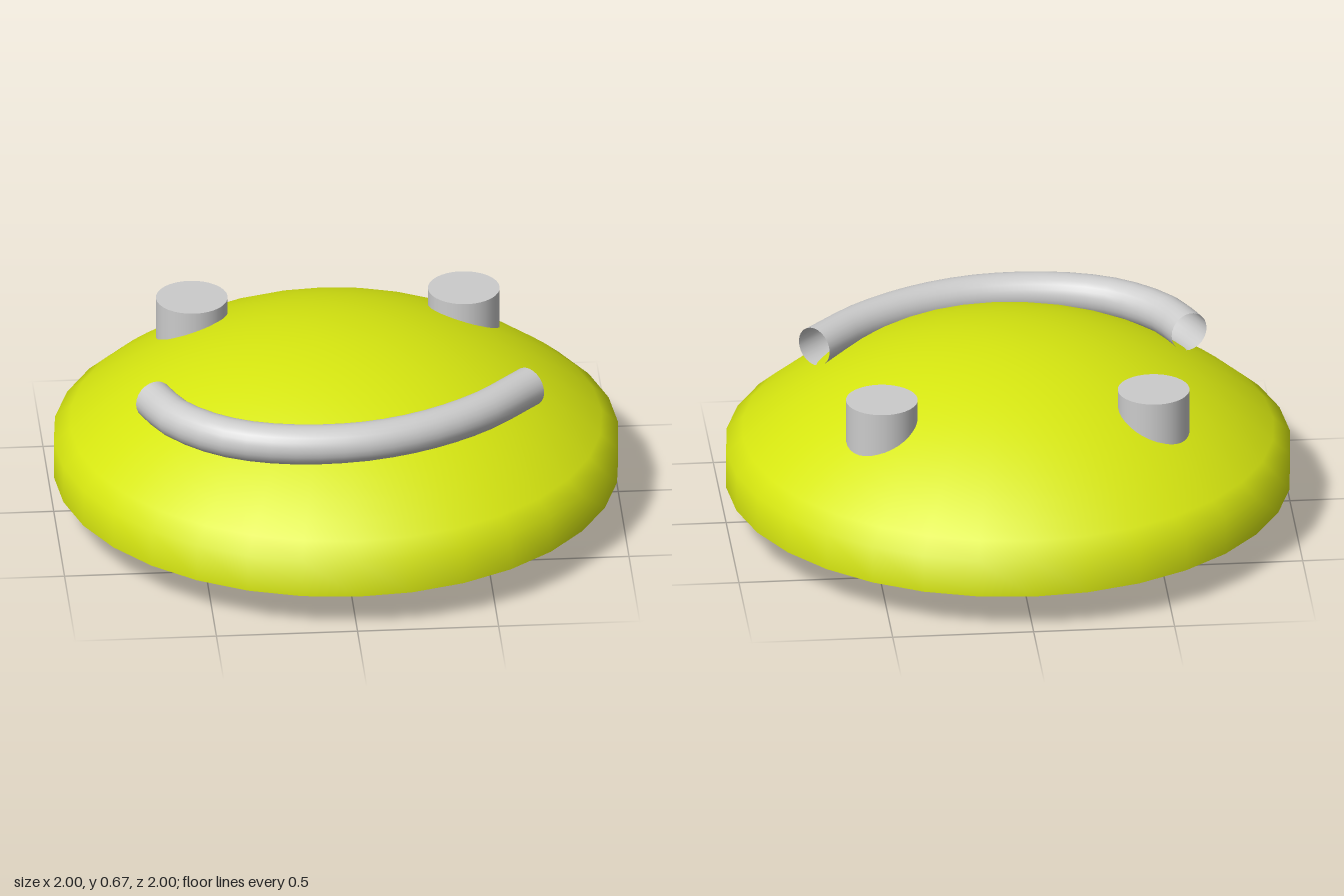
import * as THREE from 'three';
import { toCreasedNormals } from 'three/addons/utils/BufferGeometryUtils.js';

const SIDES = 32;
const yellow = new THREE.MeshStandardMaterial({ color: 0xd6e610 });
const grey = new THREE.MeshStandardMaterial({ color: 0xcccccc });
const greyOpen = new THREE.MeshStandardMaterial({ color: 0xcccccc, side: THREE.DoubleSide });

// Points of a spherical cap arc from the apex out to its edge
function capArc(edgeRadius, edgeY, apexY, steps = 14) {
  const rise = apexY - edgeY;
  const R = (edgeRadius ** 2 + rise ** 2) / (2 * rise);
  const end = Math.asin(edgeRadius / R);
  return Array.from({ length: steps + 1 }, (_, i) => {
    const a = (end * i) / steps;
    return new THREE.Vector2(R * Math.sin(a), apexY - R + R * Math.cos(a));
  });
}

function lathe(name, points, crease) {
  const geometry = toCreasedNormals(new THREE.LatheGeometry(points, SIDES), crease);
  const mesh = new THREE.Mesh(geometry, yellow);
  mesh.name = name;
  return mesh;
}

export function createModel() {
  const model = new THREE.Group();
  model.name = 'smileyCap';

  // Hollow domed cap with a short vertical rim
  model.add(lathe('domeCap', [
    ...capArc(0.87, 0.28, 0.535),
    new THREE.Vector2(0.87, 0.137),
    new THREE.Vector2(1, 0.137),
    ...capArc(1, 0.275, 0.667).reverse(),
  ], 0.9));

  // Plug ring below the cap, joined to the underside of the dome
  model.add(lathe('plugRing', [
    new THREE.Vector2(0.535, 0.48),
    new THREE.Vector2(0.535, 0),
    new THREE.Vector2(0.6, 0),
    new THREE.Vector2(0.6, 0.45),
  ], 0.6));

  // Eyes: upright pegs sunk into the dome
  for (const [side, name] of [[1, 'leftEye'], [-1, 'rightEye']]) {
    const eye = new THREE.Mesh(new THREE.CylinderGeometry(0.127, 0.127, 0.18, SIDES), grey);
    eye.position.set(side * 0.482, 0.545, -0.38);
    eye.name = name;
    model.add(eye);
  }

  // Mouth: open-ended tube along a lopsided smile
  const smile = new THREE.CatmullRomCurve3([
    [-0.665, 0.247], [-0.6, 0.39], [-0.5, 0.5], [-0.4, 0.567], [-0.27, 0.613], [-0.1, 0.634],
    [0.08, 0.62], [0.28, 0.553], [0.48, 0.428], [0.665, 0.245],
  ].map(([x, z]) => new THREE.Vector3(x, 0.558, z)));
  const mouth = new THREE.Mesh(new THREE.TubeGeometry(smile, 20, 0.071, 24), greyOpen);
  mouth.name = 'mouth';
  model.add(mouth);

  return model;
}
